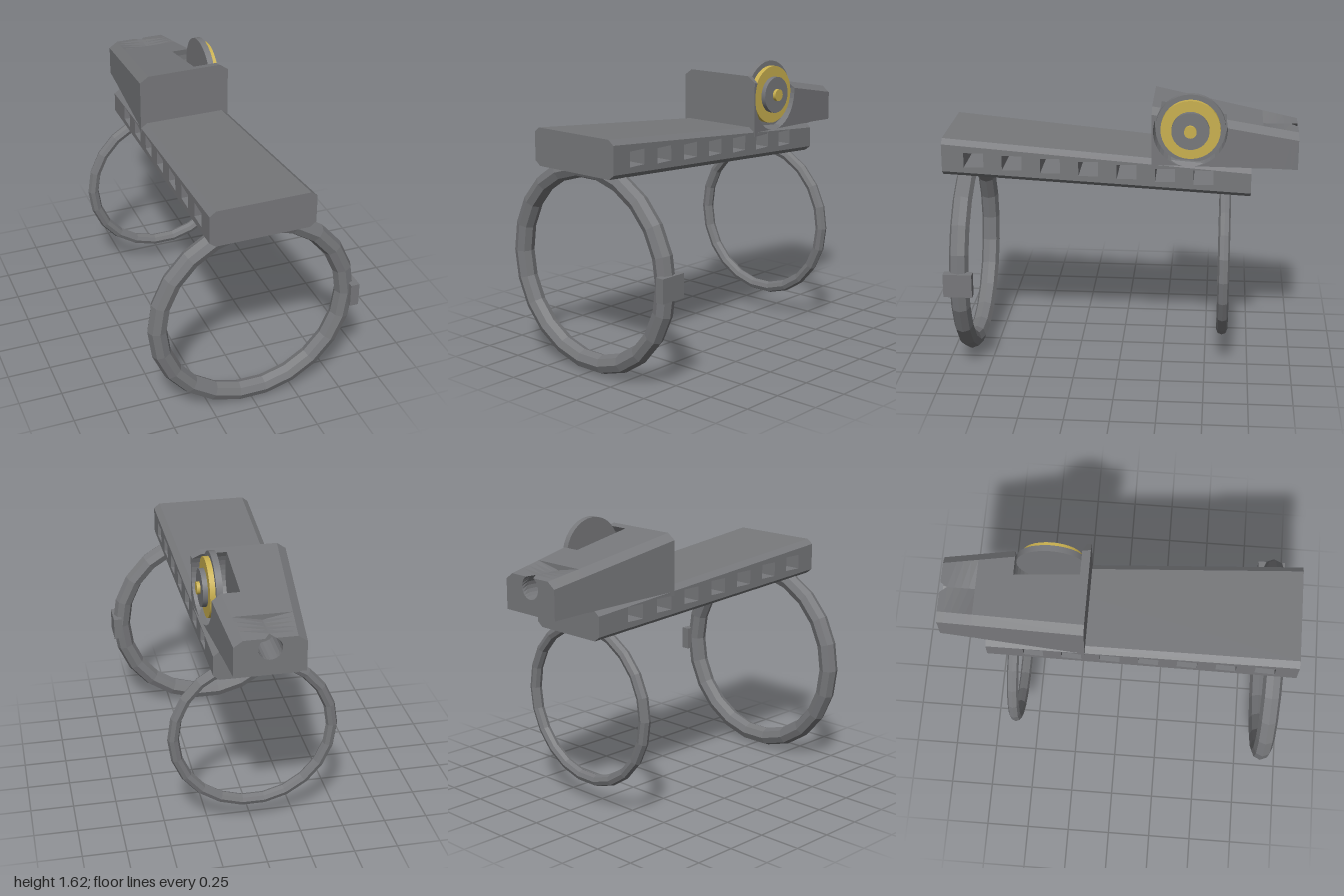
import * as THREE from 'three';

const gray = new THREE.MeshStandardMaterial({ color: 0x77787b });
gray.name = 'gunmetal gray';
const gold = new THREE.MeshStandardMaterial({ color: 0xc9b04f });
gold.name = 'brass gold';

function add(parent, name, geometry, material = gray) {
  const mesh = new THREE.Mesh(geometry, material);
  mesh.name = name;
  parent.add(mesh);
  return mesh;
}

// Facets a geometry so that every face has its own normal
function flat(geometry) {
  const g = geometry.index ? geometry.toNonIndexed() : geometry;
  g.computeVertexNormals();
  return g;
}

// Side profile in (u = -z, y), spanned across x between two rules xIn(u, y) and xOut(u, y)
function slab(points, xIn, xOut, holes = []) {
  const toShape = (pts) => new THREE.Shape(pts.map(([u, y]) => new THREE.Vector2(u, y)));
  const shape = toShape(points);
  shape.holes = holes.map(toShape);
  const g = new THREE.ExtrudeGeometry(shape, { depth: 1, bevelEnabled: false });
  const p = g.attributes.position;
  for (let i = 0; i < p.count; i++) {
    const u = p.getX(i), y = p.getY(i);
    p.setXYZ(i, p.getZ(i) > 0.5 ? xOut(u, y) : xIn(u, y), y, -u);
  }
  return flat(g);
}

// Tapered rail with chamfered long edges and a row of square through-holes
function buildRail() {
  const rail = new THREE.Group();
  rail.name = 'rail';
  const u0 = -1, u1 = 0.74, c = 0.027, cx = 0.035;
  const top = (u) => 1.36 - 0.0862 * (u + 1);
  const bottom = (u) => 1.148 - 0.062 * (u + 1);
  const half = (u, y) => 0.3 - 0.0287 * (u + 1)
    - cx * Math.max(0, (y - top(u)) / c + 1, (bottom(u) - y) / c + 1);
  const band = (lo, hi) => [[u0, lo(u0)], [u1, lo(u1)], [u1, hi(u1)], [u0, hi(u0)]];
  const holes = [];
  for (let i = 0; i < 7; i++) {
    const u = -0.82 + 0.2155 * i, y = 1.241 - 0.014 * i, w = 0.056, h = 0.042;
    holes.push([[u - w, y - h], [u - w, y + h], [u + w, y + h], [u + w, y - h]]);
  }
  const left = (u, y) => -half(u, y);
  const inTop = (u) => top(u) - c, inBottom = (u) => bottom(u) + c;
  add(rail, 'railSides', slab(band(inBottom, inTop), left, half, holes));
  add(rail, 'railTop', slab(band(inTop, top), left, half));
  add(rail, 'railUnderside', slab(band(bottom, inBottom), left, half));
  return rail;
}

// Wedge-shaped housing with a round pocket for the wheel and a bore in its rear end
const WHEEL = { u: 0.395, y: 1.425 };
function buildHousing() {
  const housing = new THREE.Group();
  housing.name = 'housing';
  const u0 = 0.18, u1 = 0.8, slope = 0.189, c = 0.035, cx = 0.05, inner = 0.075, pocketR = 0.207;
  const top = (u) => 1.555 - slope * (u - u0);
  const low = (u) => top(u) - c;
  const bottom = (u) => (u > 0.74 ? 1.21 - 0.058 * (u - 0.74) : 1.205);
  const side = (u) => 0.268 - 0.09 * (u - u0);
  const half = (u, y) => side(u) - cx * Math.max(0, (y - low(u)) / c);
  const left = (u, y) => -half(u, y);
  const wall = () => inner;

  // Left portion, up to the pocket's inner wall
  add(housing, 'housingLeft', slab(
    [[u0, bottom(u0)], [0.74, bottom(0.74)], [u1, bottom(u1)], [u1, low(u1)], [u0, low(u0)]], left, wall));
  add(housing, 'housingLeftChamfer', slab(
    [[u0, low(u0)], [u1, low(u1)], [u1, top(u1)], [u0, top(u0)]], left, wall));

  // Right portion, bitten out by the round pocket
  const phi = Math.atan2(1, slope);
  const spread = (line) => Math.acos((line(WHEEL.u) - WHEEL.y) / Math.hypot(1, slope) / pocketR);
  const onArc = (a) => [WHEEL.u + pocketR * Math.cos(a), WHEEL.y + pocketR * Math.sin(a)];
  const aLow = spread(low), aTop = spread(top);
  const bite = [];
  for (let i = 0; i <= 24; i++) {
    bite.push(onArc(THREE.MathUtils.lerp(phi - aLow + 2 * Math.PI, phi + aLow, i / 24)));
  }
  add(housing, 'housingRight', slab(
    [[u0, bottom(u0)], [0.74, bottom(0.74)], [u1, bottom(u1)], [u1, low(u1)], ...bite, [u0, low(u0)]], wall, half));
  add(housing, 'housingRightFrontChamfer', slab(
    [[u0, low(u0)], onArc(phi + aLow), onArc(phi + aTop), [u0, top(u0)]], wall, half));
  add(housing, 'housingRightRearChamfer', slab(
    [onArc(phi - aLow), [u1, low(u1)], [u1, top(u1)], onArc(phi - aTop)], wall, half));

  // Rear end: a cross-section around the bore, which just breaks through the top edge
  const r = 0.065, cy = 1.342, depth = 0.2, gap = Math.acos((top(1) - cy) / r);
  const w = side(1), pts = [];
  for (let i = 0; i <= 20; i++) {
    const a = gap + (i / 20) * 2 * (Math.PI - gap);
    pts.push(new THREE.Vector2(r * Math.sin(a), cy + r * Math.cos(a)));
  }
  const outline = [[-w + cx, top(1)], [-w, low(1)], [-w, bottom(1)], [w, bottom(1)], [w, low(1)], [w - cx, top(1)]];
  pts.push(...outline.map(([x, y]) => new THREE.Vector2(x, y)));
  const g = new THREE.ExtrudeGeometry(new THREE.Shape(pts), { depth, steps: 5, bevelEnabled: false });
  const p = g.attributes.position;
  for (let i = 0; i < p.count; i++) {
    let x = p.getX(i), y = p.getY(i);
    const d = p.getZ(i), u = 1 - d;
    if (Math.hypot(x, y - cy) < r + 0.002) {
      if (d > 0.001) { // the slot closes behind the first step
        const a = Math.atan2(Math.abs(x), y - cy);
        const closed = (a - gap) * Math.PI / (Math.PI - gap);
        x = Math.sign(x) * r * Math.sin(closed);
        y = cy + r * Math.cos(closed);
      }
    } else {
      x += Math.sign(x) * (side(u) - w);
      y += y > 1.3 ? top(u) - top(1) : bottom(u) - bottom(1);
    }
    p.setXYZ(i, x, y, -u);
  }
  add(housing, 'housingRearEnd', flat(g));
  const bore = add(housing, 'boreEnd', new THREE.CircleGeometry(r + 0.004, 20));
  bore.position.set(0, cy, -0.802);
  bore.rotation.y = Math.PI;
  return housing;
}

// Stepped wheel: each disc is [name, radius, inner x, outer x, material]
function buildWheel() {
  const wheel = new THREE.Group();
  wheel.name = 'wheel';
  const discs = [
    ['wheelRim', 0.197, 0.165, 0.2, gray],
    ['wheelRing', 0.168, 0.198, 0.23, gold],
    ['wheelHub', 0.106, 0.228, 0.258, gray],
    ['wheelPin', 0.035, 0.256, 0.277, gold],
  ];
  for (const [name, radius, x0, x1, material] of discs) {
    const disc = add(wheel, name, new THREE.CylinderGeometry(radius, radius, x1 - x0, 32), material);
    disc.rotation.z = -Math.PI / 2;
    disc.position.set((x0 + x1) / 2, WHEEL.y, -WHEEL.u);
  }
  return wheel;
}

export function createModel() {
  const model = new THREE.Group();
  model.name = 'mountedDevice';
  model.add(buildRail(), buildHousing(), buildWheel());

  // Two faceted hoops hanging below the rail
  const hoops = [
    ['frontRing', 0.55, 0.055, 0.604, 0.88],
    ['rearRing', 0.452, 0.033, 0.61, -0.598],
  ];
  for (const [name, radius, tube, y, z] of hoops) {
    add(model, name, flat(new THREE.TorusGeometry(radius, tube, 8, 22))).position.set(0, y, z);
  }

  // Clasp on the front hoop
  add(model, 'ringClasp', new THREE.BoxGeometry(0.05, 0.135, 0.162)).position.set(0.581, 0.603, 0.88);
  return model;
}
